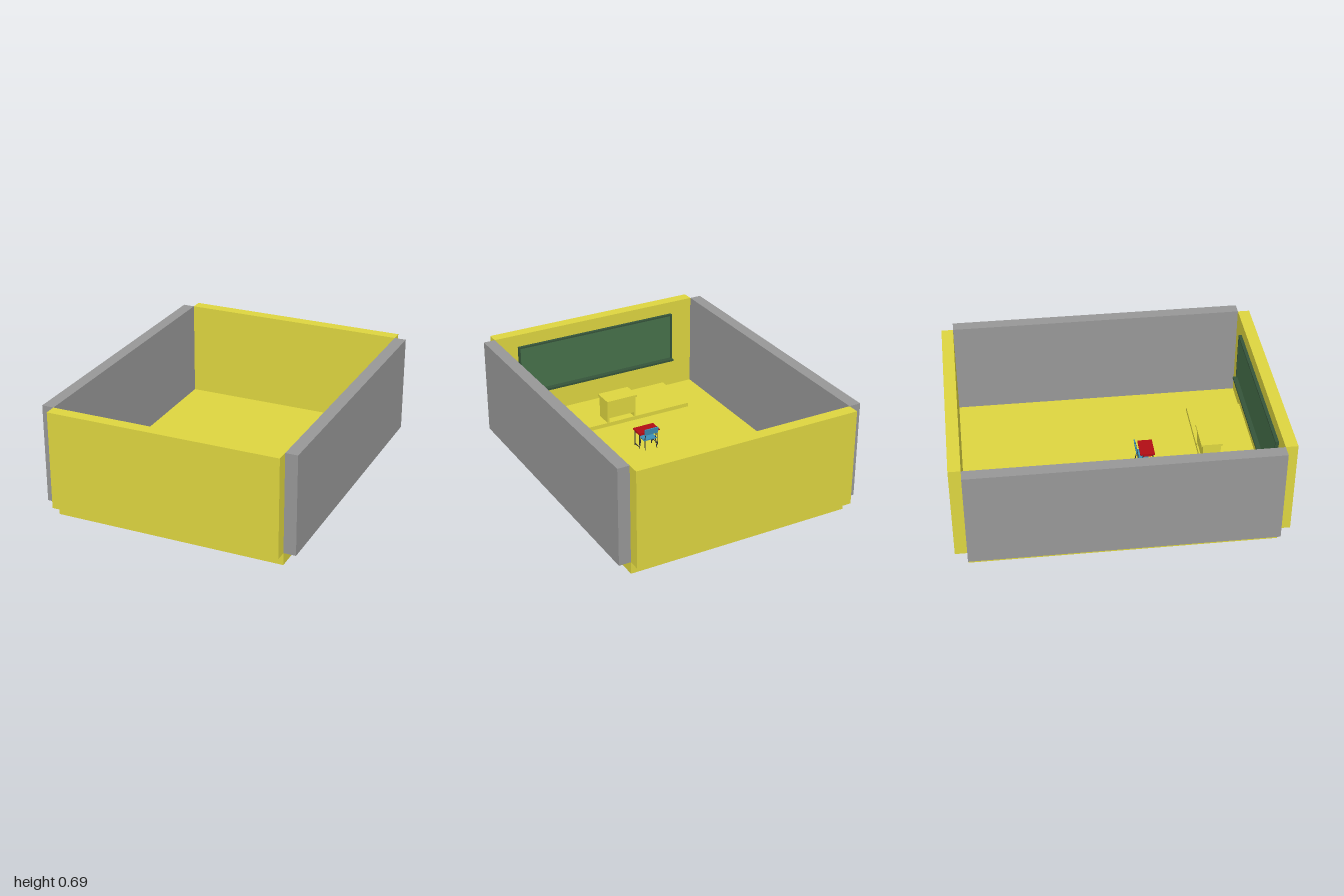
import * as THREE from 'three';

const mat = (color) => new THREE.MeshStandardMaterial({ color });

export function createModel() {
  const model = new THREE.Group();
  const yellow = mat(0xddd540), grey = mat(0x979797), green = mat(0x46704a), darkGreen = mat(0x35543a);
  const red = mat(0xb00c14), blue = mat(0x3d8fb5), dark = mat(0x333333);

  // Box given by its limits on each axis
  const box = (parent, name, material, [x0, x1], [y0, y1], [z0, z1]) => {
    const mesh = new THREE.Mesh(new THREE.BoxGeometry(x1 - x0, y1 - y0, z1 - z0), material);
    mesh.position.set((x0 + x1) / 2, (y0 + y1) / 2, (z0 + z1) / 2);
    mesh.name = name;
    parent.add(mesh);
    return mesh;
  };
  const group = (name) => {
    const g = new THREE.Group();
    g.name = name;
    model.add(g);
    return g;
  };
  // Thin round bar between two points
  const bar = (parent, name, a, b, radius = 0.003) => {
    const curve = new THREE.LineCurve3(new THREE.Vector3(...a), new THREE.Vector3(...b));
    const mesh = new THREE.Mesh(new THREE.TubeGeometry(curve, 1, radius, 8), dark);
    mesh.name = name;
    parent.add(mesh);
  };

  // Room shell: floor slab and four walls, open at the top and at the corners
  const W = 0.72, D = 0.926, F = 0.077, H = 0.695;
  box(model, 'floor', yellow, [-W, W], [0, F], [-D, D]);
  box(model, 'frontWall', yellow, [-W, W], [F, H], [D, 1]);
  box(model, 'backWall', yellow, [-W, W], [F, H], [-1, -D]);
  box(model, 'leftWall', grey, [W, 0.795], [F, H], [-D, D]);
  box(model, 'rightWall', grey, [-0.795, -W], [F, H], [-D, D]);

  // Chalkboard with frame and chalk tray on the inside of the front wall
  const board = group('chalkboard');
  box(board, 'boardPanel', green, [-0.555, 0.555], [0.29, 0.605], [0.912, D]);
  box(board, 'frameTop', darkGreen, [-0.565, 0.565], [0.603, 0.613], [0.905, D]);
  box(board, 'chalkTray', darkGreen, [-0.565, 0.565], [0.272, 0.286], [0.885, D]);
  for (const s of [-1, 1]) {
    box(board, 'frameSide', darkGreen, [s * 0.56 - 0.005, s * 0.56 + 0.005], [0.286, 0.603], [0.905, D]);
  }

  // Low stage under the teacher's desk
  const stageTop = 0.104;
  box(model, 'stage', yellow, [-0.505, 0.505], [F, stageTop], [0.57, D]);

  // Teacher's desk
  const desk = group('teacherDesk');
  box(desk, 'deskTop', yellow, [-0.11, 0.11], [0.25, 0.264], [0.56, 0.695]);
  box(desk, 'deskFrontPanel', yellow, [-0.1, 0.1], [0.135, 0.25], [0.572, 0.582]);
  for (const s of [-1, 1]) {
    box(desk, 'deskSide', yellow, [s * 0.098 - 0.006, s * 0.098 + 0.006], [stageTop, 0.25], [0.572, 0.685]);
  }

  // Pupil's desk: red top on four thin legs with a shelf
  const pupilDesk = group('pupilDesk');
  box(pupilDesk, 'pupilDeskTop', red, [-0.073, 0.073], [0.188, 0.196], [0.183, 0.275]);
  box(pupilDesk, 'bookShelf', red, [-0.06, 0.06], [0.168, 0.172], [0.205, 0.268]);
  for (const s of [-1, 1]) {
    for (const z of [0.2, 0.265]) bar(pupilDesk, 'deskLeg', [s * 0.064, F, z], [s * 0.064, 0.19, z]);
    bar(pupilDesk, 'deskFoot', [s * 0.064, F + 0.012, 0.2], [s * 0.064, F + 0.012, 0.265]);
  }

  // Chair facing the desk
  const chair = group('chair');
  box(chair, 'seat', blue, [-0.045, 0.045], [0.141, 0.149], [0.172, 0.238]);
  const back = box(chair, 'backrest', blue, [-0.048, 0.048], [0.186, 0.228], [0.158, 0.165]);
  back.rotation.x = -0.12;
  for (const s of [-1, 1]) {
    bar(chair, 'backPost', [s * 0.038, 0.143, 0.176], [s * 0.038, 0.215, 0.164]);
    bar(chair, 'backLeg', [s * 0.042, F, 0.166], [s * 0.038, 0.143, 0.178]);
    bar(chair, 'frontLeg', [s * 0.042, F, 0.238], [s * 0.038, 0.143, 0.23]);
  }
  return model;
}
